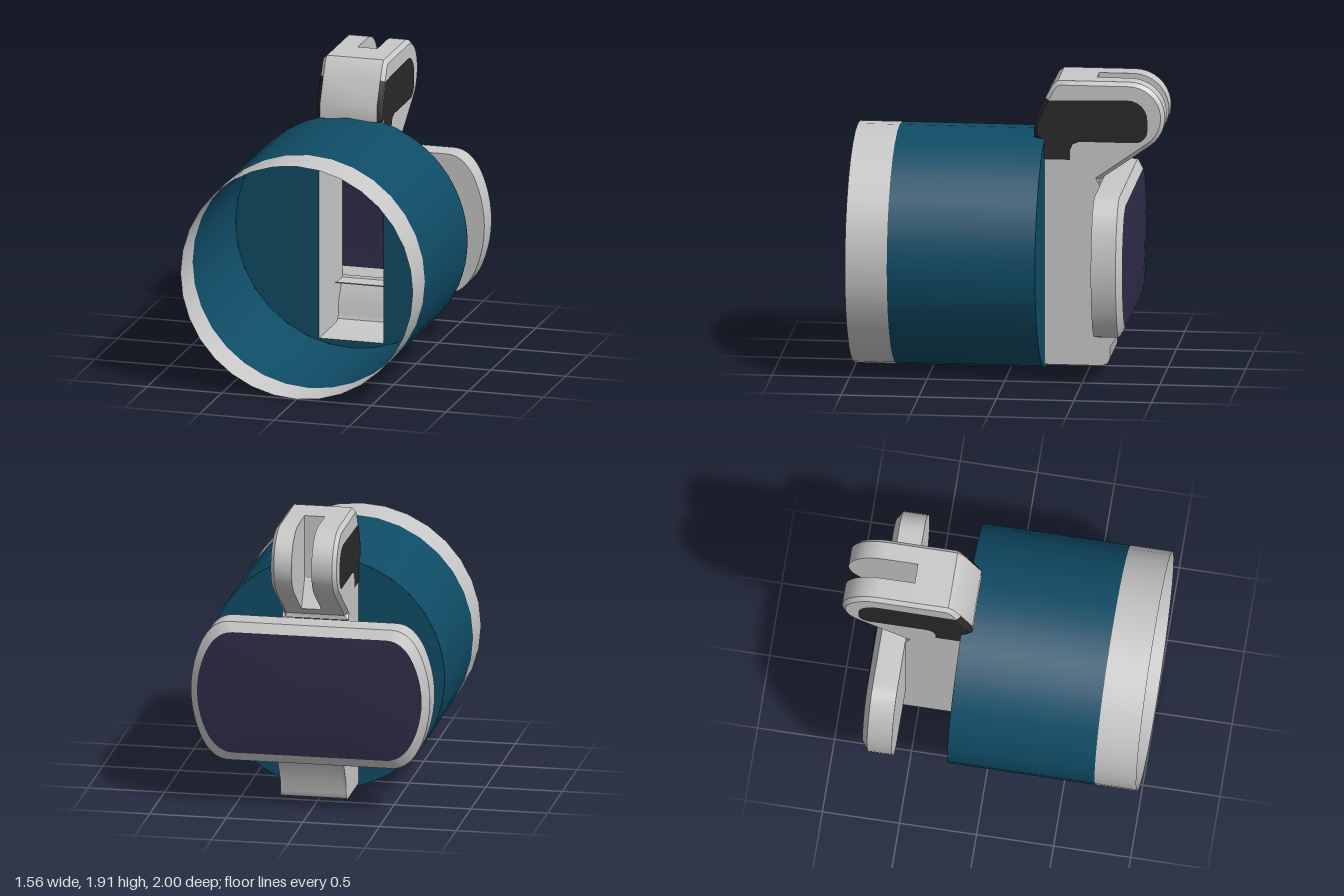
import * as THREE from 'three';
import { toCreasedNormals } from 'three/addons/utils/BufferGeometryUtils.js';

const mat = (name, color) => {
  const m = new THREE.MeshStandardMaterial({ color, side: THREE.DoubleSide });
  m.name = name;
  return m;
};

// Mesh from a flat list of [x, y, z] triangle corners
function meshFrom(name, corners, material, crease = 0.55) {
  let geo = new THREE.BufferGeometry();
  geo.setAttribute('position', new THREE.Float32BufferAttribute(corners.flat(), 3));
  geo = toCreasedNormals(geo, crease);
  const mesh = new THREE.Mesh(geo, material);
  mesh.name = name;
  return mesh;
}

// Side profiles use u (= -z) and y; span joins two profiles lying at x0 and x1
const at = (x, [u, y]) => [x, y, -u];
function span(out, x0, A, x1, B, from, to) {
  for (let i = from; i < to; i++) {
    const a = at(x0, A[i]), b = at(x0, A[i + 1]), c = at(x1, B[i + 1]), d = at(x1, B[i]);
    out.push(a, b, c, a, c, d);
  }
}

// Flat plate in the side plane at a given x
function sidePlate(name, points, x, material) {
  const shape = new THREE.Shape(points.map(([u, y]) => new THREE.Vector2(u, y)));
  const mesh = new THREE.Mesh(new THREE.ShapeGeometry(shape).rotateY(Math.PI / 2), material);
  mesh.position.x = x;
  mesh.name = name;
  return mesh;
}

const arc = (cu, cy, r, a0, a1, n) => Array.from({ length: n + 1 }, (_, i) => {
  const a = THREE.MathUtils.degToRad(a0 + (a1 - a0) * i / n);
  return [cu + r * Math.cos(a), cy + r * Math.sin(a)];
});

// Shifts every profile point inward by its third value (the chamfer)
function inset(points) {
  const n = points.length;
  const inward = (p, q) => new THREE.Vector2(p[1] - q[1], q[0] - p[0]).normalize();
  return points.map((p, i) => {
    const n0 = inward(points[(i + n - 1) % n], p), n1 = inward(p, points[(i + 1) % n]);
    const k = (p[2] || 0) / (1 + n0.dot(n1));
    return [p[0] + (n0.x + n1.x) * k, p[1] + (n0.y + n1.y) * k];
  });
}

export function createModel() {
  const model = new THREE.Group();
  model.name = 'model';
  const teal = mat('teal', 0x0f4c66), grey = mat('lightGrey', 0xc8c8c8);
  const black = mat('black', 0x2a2a2a), purple = mat('darkPurple', 0x2f2c48);
  const R = 0.777;

  // Open thin barrel with a grey front band
  const tube = (name, z0, z1, material) => {
    const geo = new THREE.CylinderGeometry(R, R, z1 - z0, 32, 1, true).rotateX(Math.PI / 2);
    const mesh = new THREE.Mesh(geo, material);
    mesh.position.set(0, R, (z0 + z1) / 2);
    mesh.name = name;
    model.add(mesh);
  };
  tube('barrel', -0.225, 0.73, teal);
  tube('frontBand', 0.73, 1, grey);

  // Back disc, notched where the hollow handle opens into the barrel
  const W = 0.215, notch = Math.acos(W / R);
  const discShape = new THREE.Shape();
  discShape.absarc(0, 0, R * 0.998, Math.PI - notch, Math.PI * 2 + notch, false);
  discShape.lineTo(W, 0.05 - R);
  discShape.lineTo(-W, 0.05 - R);
  const disc = new THREE.Mesh(new THREE.ShapeGeometry(discShape, 40), teal);
  disc.position.set(0, R, -0.225);
  disc.name = 'backDisc';
  model.add(disc);

  // Hollow handle: foot, spine and chamfered head
  const C = 0.025, S = 0.19;
  const foot = [[0.22, 0.05], [0.6, 0.05], [0.635, 0.065], [0.65, 0.1], [0.65, 0.17], [0.74, 0.33]];
  const neck = [[0.74, 1.23], [0.58, 1.24], [0.58, 1.27, C]];
  const prong = [[0.66, 1.326], ...arc(0.77, 1.685, 0.23, -55, 90, 14), [0.55, 1.915]].map(p => [...p, C]);
  const brow = [[0.31, 1.915], [0.275, 1.885], [0.23, 1.8], [0.155, 1.64], [0.155, 1.54]].map(p => [...p, C]);
  const P = [...foot, ...neck, ...prong, ...brow, [0.22, 1.53]];
  const Q = inset(P);
  const last = P.length - 1, headStart = foot.length + 1;
  const slot0 = foot.length + neck.length, slot1 = slot0 + prong.length - 1;
  const browFace = slot1 + 3;
  const slotL = -0.055, slotR = 0.075;

  const wall = [];
  span(wall, -S, P, S, P, 0, foot.length - 1);
  span(wall, -S, P, S, P, headStart, slot0);
  span(wall, -S, P, slotL, P, slot0, slot1);
  span(wall, slotR, P, S, P, slot0, slot1);
  span(wall, -S, P, S, P, slot1, last);
  // Slot back wall and sloped floor
  const slotWall = [[0.66, 1.326], [0.55, 1.5], [0.55, 1.915]];
  span(wall, slotL, slotWall, slotR, slotWall, 0, 2);
  // Chamfers; those beside the black inlay are black
  const blackEdges = [];
  for (const [out, from, to] of [[wall, 0, foot.length - 1], [wall, headStart, browFace], [blackEdges, browFace, last]]) {
    span(out, -W, Q, -S, P, from, to);
    span(out, S, P, W, Q, from, to);
  }
  model.add(meshFrom('handleShell', wall, grey));
  model.add(meshFrom('inlayEdges', blackEdges, black));

  const inlay = [
    [0.225, 1.4], [0.39, 1.4], [0.39, 1.46], [0.408, 1.502], [0.45, 1.52],
    ...arc(0.81, 1.6, 0.08, -90, 0, 5), ...arc(0.76, 1.67, 0.13, 0, 90, 6),
    Q[browFace], Q[browFace + 1], Q[browFace + 2], [0.225, 1.53],
  ];
  for (const s of [-1, 1]) {
    model.add(sidePlate('handleSide', Q, s * W, grey));
    model.add(sidePlate('sideInlay', inlay, s * (W + 0.003), black));
  }
  for (const x of [slotL, slotR]) {
    model.add(sidePlate('prongInnerWall', [...prong, [0.55, 1.5]], x, grey));
  }

  // Rear pad outline: curved ends, flat top and bottom, soft corners
  const H = 0.462, A = 0.78;
  const quarter = arc(0, 0, A, 0, 22.6, 5);
  const [ex, ey] = quarter[5];
  const corner = new THREE.QuadraticBezierCurve(
    new THREE.Vector2(ex, ey), new THREE.Vector2(0.65, H), new THREE.Vector2(0.53, H));
  quarter.push(...corner.getPoints(8).slice(1).map(p => [p.x, p.y]));
  const flipped = quarter.slice().reverse().map(([x, y]) => [-x, y]);
  const upper = [...quarter, ...flipped];
  const outline = [...upper, ...upper.slice(1, -1).map(([x, y]) => [-x, -y])];

  const ring = (sx, sy, z) => outline.map(([x, y]) => [x * sx, R + y * sy, z]);
  const loft = (rings) => {
    const out = [], n = outline.length;
    for (let r = 0; r < rings.length - 1; r++) {
      for (let i = 0; i < n; i++) {
        const j = (i + 1) % n, [f, b] = [rings[r], rings[r + 1]];
        out.push(f[i], b[i], b[j], f[i], b[j], f[j]);
      }
    }
    return out;
  };
  const sx = 0.733 / A, sy = 0.402 / H;
  model.add(meshFrom('padFrame', loft([ring(1, 1, -0.585), ring(1, 1, -0.745), ring(sx, sy, -0.782)]), grey, 0.5));

  // Gently domed pad face
  const dome = [1, 0.75, 0.5, 0.25, 0.001].map(k => ring(sx * k, sy * k, -0.806 + 0.024 * k * k));
  model.add(meshFrom('padFace', loft(dome), purple, 0.6));

  // Pad front plate, open behind the handle
  const plate = new THREE.Shape(outline.map(([x, y]) => new THREE.Vector2(x, y)));
  plate.holes.push(new THREE.Path([[-W, -0.455], [-W, 0.455], [W, 0.455], [W, -0.455]]
    .map(([x, y]) => new THREE.Vector2(x, y))));
  const padFront = new THREE.Mesh(new THREE.ShapeGeometry(plate), grey);
  padFront.position.set(0, R, -0.585);
  padFront.name = 'padFrontPlate';
  model.add(padFront);

  return model;
}
